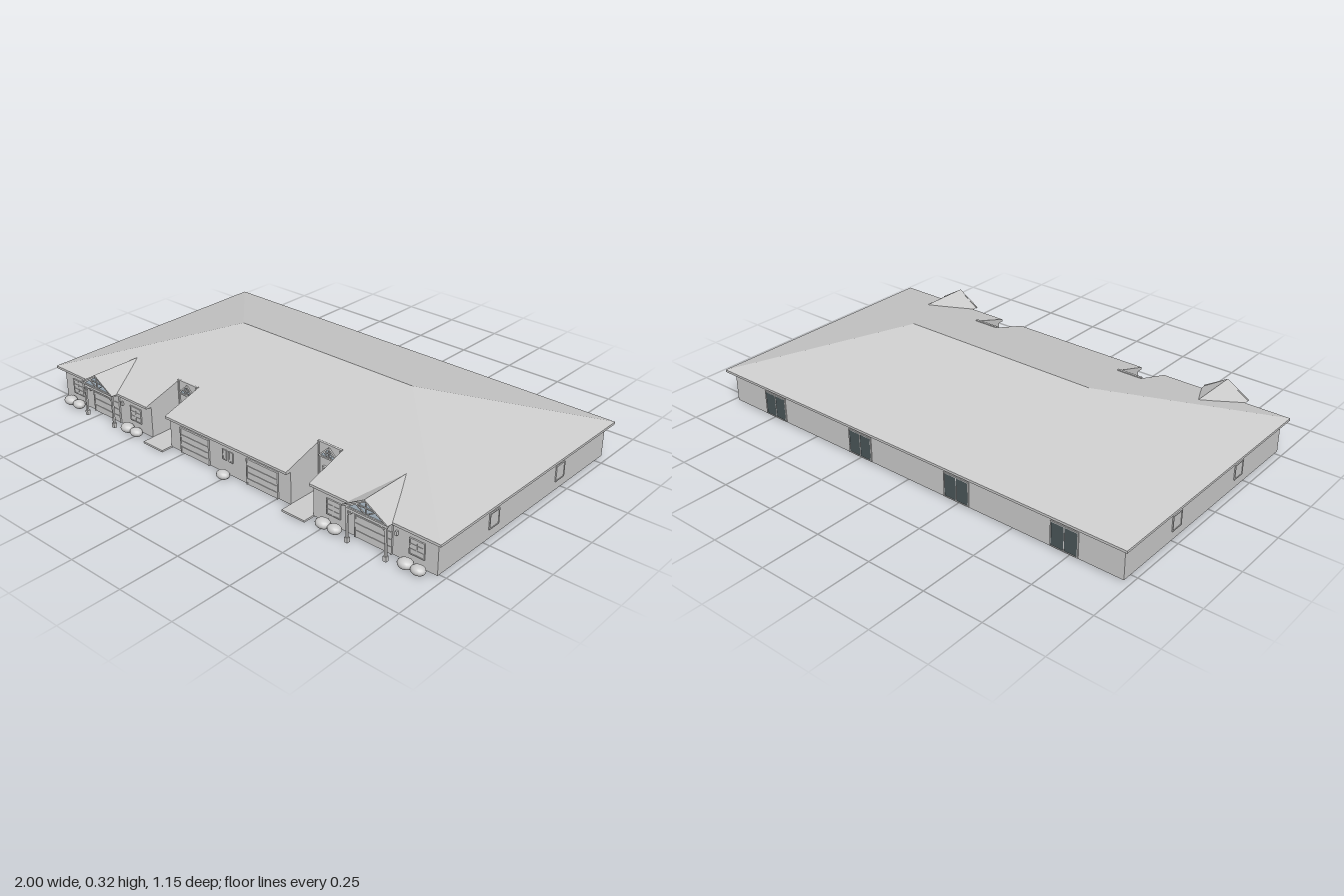
import * as THREE from 'three';

const grey = new THREE.MeshStandardMaterial({ color: 0xcccccc, flatShading: true });
const thin = new THREE.MeshStandardMaterial({ color: 0xcccccc, flatShading: true, side: THREE.DoubleSide });
const smooth = new THREE.MeshStandardMaterial({ color: 0xcccccc });
const dark = new THREE.MeshStandardMaterial({ color: 0x2b2d30 });
const glass = new THREE.MeshStandardMaterial({ color: 0x4a5558 });
const blue = new THREE.MeshStandardMaterial({ color: 0xb4c4d0, side: THREE.DoubleSide });

const EAVE = 0.15, RISE = 0.175, FRONT = 0.54, BACK = -0.575, NOTCH = 0.365;

function add(parent, name, geo, mat, x = 0, y = 0, z = 0) {
  const m = new THREE.Mesh(geo, mat);
  m.name = name;
  m.position.set(x, y, z);
  parent.add(m);
  return m;
}
const box = (p, name, w, h, d, x, y, z, mat = grey) =>
  add(p, name, new THREE.BoxGeometry(w, h, d), mat, x, y, z);

// Bar between two points in the xy plane
function bar(p, name, x1, y1, x2, y2, z, t, mat = grey) {
  const m = box(p, name, Math.hypot(x2 - x1, y2 - y1), t, t, (x1 + x2) / 2, (y1 + y2) / 2, z, mat);
  m.rotation.z = Math.atan2(y2 - y1, x2 - x1);
}

// Plan shape from [x, z] points
const plan = pts => new THREE.Shape(pts.map(([x, z]) => new THREE.Vector2(x, -z)));

// Rectangle outline with the two entrance recesses cut into its front
function notched(hx, front, rear) {
  const pts = [[-hx, front]];
  for (const [a, b] of [[-0.43, -0.32], [0.32, 0.43]]) pts.push([a, front], [a, NOTCH], [b, NOTCH], [b, front]);
  return [...pts, [hx, front], ...rear];
}
function slab(p, name, pts, y, h) {
  const g = new THREE.ExtrudeGeometry(plan(pts), { depth: h, bevelEnabled: false });
  g.rotateX(-Math.PI / 2);
  add(p, name, g, grey, 0, y, 0);
}

// Roof plane: flat plan lifted by distance from the eaves
function slope(p, name, pts) {
  const g = new THREE.ShapeGeometry(plan(pts)).rotateX(-Math.PI / 2);
  const pos = g.attributes.position;
  for (let i = 0; i < pos.count; i++) {
    const x = pos.getX(i), z = pos.getZ(i);
    const k = Math.min((FRONT - z) / 0.56, (z - BACK) / 0.555, (1 - Math.abs(x)) / 0.555);
    pos.setY(i, EAVE + RISE * k);
  }
  g.computeVertexNormals();
  add(p, name, g, thin);
}

function polygon(p, name, verts, mat = thin) {
  const g = new THREE.BufferGeometry().setFromPoints(verts.map(v => new THREE.Vector3(...v)));
  g.setIndex(verts.length === 4 ? [0, 1, 2, 0, 2, 3] : [0, 1, 2]);
  g.computeVertexNormals();
  add(p, name, g, mat);
}

// Framed window facing +z, centred on its group
function makeWindow(w, h, pane, columns) {
  const g = new THREE.Group(), t = 0.004;
  box(g, 'pane', w, h, 0.003, 0, 0, 0, pane);
  for (const s of [-1, 1]) {
    box(g, 'frameRail', w + t, t, 0.007, 0, s * h / 2, 0);
    box(g, 'frameStile', t, h, 0.007, s * w / 2, 0, 0);
  }
  for (let i = 1; i < columns; i++) box(g, 'mullion', 0.003, h, 0.006, (i / columns - 0.5) * w, 0, 0);
  return g;
}
function place(p, name, g, x, y, z, turn = 0) {
  g.name = name;
  g.position.set(x, y, z);
  g.rotation.y = turn;
  p.add(g);
}

// Sectional garage door with frame
function garageDoor(p, x, w, h) {
  const g = new THREE.Group(), rows = 4;
  for (let i = 0; i < rows; i++)
    box(g, 'doorPanel', w, h / rows - 0.002, 0.006, 0, (i + 0.5) * h / rows, 0);
  for (const s of [-1, 1]) box(g, 'doorJamb', 0.005, h, 0.01, s * (w / 2 + 0.002), h / 2, 0);
  box(g, 'doorHead', w + 0.01, 0.005, 0.01, 0, h, 0);
  place(p, 'garageDoor', g, x, 0.005, 0.517);
}

// Triangular truss with glazing
function truss(p, half, y0, y1, z) {
  polygon(p, 'gableGlazing', [[-half, y0, z - 0.002], [half, y0, z - 0.002], [0, y1, z - 0.002]], blue);
  const mid = (y0 + y1) / 2;
  bar(p, 'tieBeam', -half, y0, half, y0, z, 0.006);
  bar(p, 'collarBeam', -half / 2, mid, half / 2, mid, z, 0.004);
  bar(p, 'kingPost', 0, y0, 0, y1, z, 0.004);
  for (const s of [-1, 1]) {
    bar(p, 'rafter', s * half, y0, 0, y1, z, 0.006);
    bar(p, 'strut', 0, y0, s * half / 2, mid, z, 0.004);
  }
}

// Garage porch: gable roof on two posts
function porch(x) {
  const g = new THREE.Group();
  const top = 0.212, low = 0.148, zf = 0.57;
  for (const s of [-1, 1]) {
    polygon(g, 'porchRoof', [[0, top, zf], [0, top, 0.345], [s * 0.1, low, 0.54], [s * 0.1, low, zf]]);
    bar(g, 'bargeBoard', s * 0.1, low, 0, top - 0.004, zf - 0.003, 0.006);
    box(g, 'post', 0.008, 0.142, 0.008, s * 0.085, 0.071, 0.556);
    box(g, 'postBase', 0.014, 0.02, 0.014, s * 0.085, 0.01, 0.556);
    bar(g, 'brace', s * 0.085, 0.112, s * 0.06, 0.132, 0.556, 0.005);
    box(g, 'sideBeam', 0.008, 0.008, 0.05, s * 0.085, 0.139, 0.535);
    box(g, 'lantern', 0.008, 0.016, 0.01, s * 0.1, 0.1, 0.52);
  }
  box(g, 'frontBeam', 0.18, 0.01, 0.008, 0, 0.136, 0.556);
  truss(g, 0.088, 0.147, 0.203, 0.562);
  garageDoor(g, 0, 0.155, 0.118);
  place(g.parent || g, 'porch', new THREE.Group(), 0, 0, 0);
  g.position.x = x;
  g.name = 'garagePorch';
  return g;
}

// Recessed entrance, open above through the roof
function entrance(x) {
  const g = new THREE.Group();
  const h = 0.055, topY = EAVE + RISE * (FRONT - NOTCH) / 0.56;
  for (const s of [-1, 1]) {
    polygon(g, 'recessCheek', [[s * h, 0.15, FRONT], [s * h, 0.15, NOTCH], [s * h, topY, NOTCH]]);
    box(g, 'cornerTrim', 0.005, 0.2, 0.006, s * 0.052, 0.105, NOTCH + 0.003);
  }
  box(g, 'recessWall', 0.11, 0.066, 0.004, 0, 0.175, NOTCH);
  box(g, 'recessCap', 0.114, 0.004, 0.01, 0, 0.208, NOTCH);
  box(g, 'doorstep', 0.11, 0.008, 0.2, 0, 0.004, 0.465);
  truss(g, 0.046, 0.155, 0.198, NOTCH + 0.008);
  box(g, 'frontDoor', 0.05, 0.1, 0.006, 0, 0.058, NOTCH + 0.003, dark);
  for (const s of [-1, 1]) box(g, 'doorFrame', 0.004, 0.104, 0.01, s * 0.027, 0.06, NOTCH + 0.004);
  box(g, 'doorLintel', 0.06, 0.005, 0.01, 0, 0.112, NOTCH + 0.004);
  g.position.x = x;
  g.name = 'entrance';
  return g;
}

function bush(p, x, r) {
  const m = add(p, 'bush', new THREE.SphereGeometry(1, 14, 10), smooth, x, r * 0.75, 0.545);
  m.scale.set(r * 1.2, r * 0.75, r);
}

export function createModel() {
  const house = new THREE.Group();
  house.name = 'house';

  // Walls and eaves
  slab(house, 'walls', notched(0.975, 0.515, [[0.975, -0.545], [-0.975, -0.545]]), 0.005, 0.137);
  slab(house, 'eaves', notched(1, FRONT, [[1, BACK], [-1, BACK]]), 0.14, 0.01);

  // Hipped roof
  const R = 0.445, Z = -0.02;
  slope(house, 'frontRoof', notched(1, FRONT, [[R, Z], [-R, Z]]));
  slope(house, 'backRoof', [[-1, BACK], [1, BACK], [R, Z], [-R, Z]]);
  for (const s of [-1, 1]) slope(house, 'sideRoof', [[s, FRONT], [s, BACK], [s * R, Z]]);

  for (const s of [-1, 1]) {
    house.add(porch(s * 0.705), entrance(s * 0.375));
    garageDoor(house, s * 0.18, 0.15, 0.108);

    // Front windows with bushes below
    for (const x of [0.89, 0.525]) {
      place(house, 'frontWindow', makeWindow(0.06, 0.06, grey, 2), s * x, 0.075, 0.517);
      for (const y of [0.065, 0.085])
        box(house, 'windowBar', 0.06, 0.003, 0.006, s * x, y, 0.517);
      bush(house, s * x - 0.025, 0.026);
      bush(house, s * x + 0.028, 0.024);
    }
    place(house, 'smallWindow', makeWindow(0.018, 0.04, grey, 1), s * 0.017, 0.085, 0.516);

    // Side windows
    for (const z of [0.197, -0.228])
      place(house, 'sideWindow', makeWindow(0.054, 0.06, grey, 1), s * 0.976, 0.075, z, s * Math.PI / 2);

    // Sliding doors at the back
    for (const x of [0.73, 0.245])
      place(house, 'slidingDoor', makeWindow(0.115, 0.1, glass, 2), s * x, 0.06, -0.546, Math.PI);
  }
  bush(house, 0, 0.024);
  return house;
}
